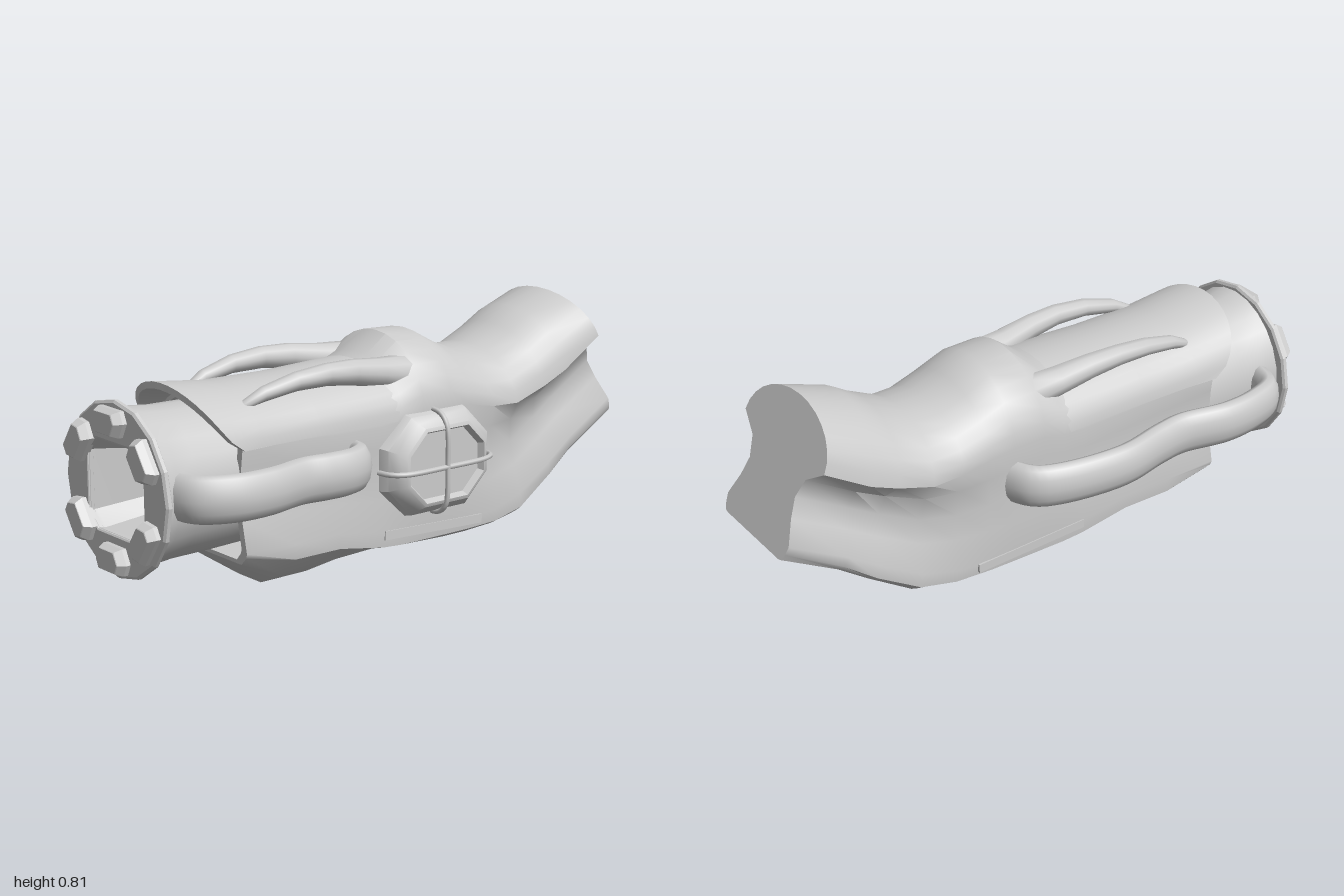
import * as THREE from 'three';
import { toCreasedNormals } from 'three/addons/utils/BufferGeometryUtils.js';

const V = (x, y, z) => new THREE.Vector3(x, y, z);
const material = new THREE.MeshStandardMaterial({ color: 0xcccccc });
const CX = 0.012, CY = 0.38; // barrel axis

// Skin a row of closed loops (counter-clockwise seen from the far end), with optional caps
function loft(loops, capStart = true, capEnd = true, crease = 0.65) {
  const pos = [];
  const tri = (...pts) => pts.forEach((p) => pos.push(p.x, p.y, p.z));
  const fan = (loop, flip) => {
    const c = loop.reduce((s, p) => s.add(p), V(0, 0, 0)).divideScalar(loop.length);
    loop.forEach((p, i) => {
      const q = loop[(i + 1) % loop.length];
      flip ? tri(c, q, p) : tri(c, p, q);
    });
  };
  for (let k = 0; k < loops.length - 1; k++) {
    const a = loops[k], b = loops[k + 1];
    for (let i = 0; i < a.length; i++) {
      const j = (i + 1) % a.length;
      tri(a[i], a[j], b[j]);
      tri(a[i], b[j], b[i]);
    }
  }
  if (capStart) fan(loops[0], true);
  if (capEnd) fan(loops[loops.length - 1], false);
  const g = new THREE.BufferGeometry();
  g.setAttribute('position', new THREE.Float32BufferAttribute(pos, 3));
  return toCreasedNormals(g, crease);
}

// Chamfered rectangle, counter-clockwise
const chamfer = (w, h, c) => [
  [w, -h + c], [w, h - c], [w - c, h], [-w + c, h],
  [-w, h - c], [-w, -h + c], [-w + c, -h], [w - c, -h],
];

// Body cross-section: domed top, waisted sides, tapered belly
function bodySection([zTop, zBot, top, sh, w, waist, wl, low, bot, keel]) {
  const half = [[keel, bot], [(keel + wl) / 2, bot * 0.6 + (low - 0.04) * 0.4],
    [wl - 0.005, Math.max(low - 0.05, bot + 0.025)], [wl, low]];
  for (const t of [0.3, 0.55, 0.8]) {
    const edge = wl + (w - wl) * t;
    half.push([edge + (waist - edge) * (t === 0.55 ? 1 : 0.75), low + (sh - low) * t]);
  }
  for (let i = 0; i < 7; i++) {
    const a = Math.PI / 2 * (1 - i / 7);
    half.push([w * Math.sin(a), sh + (top - sh) * Math.cos(a)]);
  }
  const ring = [[0, bot], ...half, [0, top], ...half.map(([x, y]) => [-x, y]).reverse()];
  return ring.map(([x, y]) => V(CX + x, y, zBot + (zTop - zBot) * (y - bot) / (top - bot)));
}

export function createModel() {
  const group = new THREE.Group();
  const add = (name, geometry) => {
    const m = new THREE.Mesh(geometry, material);
    m.name = name;
    group.add(m);
    return m;
  };

  // Main body, rear to front:
  // zTop, zBottom, top, shoulder, width, waist, lowerWidth, lowerEdge, bottom, keel
  const stations = [
    [-0.8, -0.995, 0.81, 0.665, 0.24, 0.14, 0.19, 0.42, 0.37, 0.16],
    [-0.65, -0.79, 0.765, 0.565, 0.241, 0.145, 0.2, 0.31, 0.25, 0.16],
    [-0.57, -0.68, 0.715, 0.525, 0.243, 0.16, 0.21, 0.24, 0.17, 0.16],
    [-0.46, -0.53, 0.66, 0.485, 0.245, 0.19, 0.228, 0.16, 0.075, 0.17],
    [-0.36, -0.4, 0.66, 0.49, 0.247, 0.22, 0.24, 0.13, 0.062, 0.18],
    [-0.27, -0.27, 0.695, 0.51, 0.25, 0.238, 0.247, 0.12, 0.06, 0.18],
    [-0.18, -0.18, 0.745, 0.52, 0.25, 0.245, 0.248, 0.12, 0.06, 0.18],
    [-0.06, -0.06, 0.75, 0.52, 0.25, 0.246, 0.248, 0.125, 0.06, 0.17],
    [0.02, 0.02, 0.69, 0.5, 0.248, 0.244, 0.248, 0.13, 0.06, 0.16],
    [0.1, 0.1, 0.655, 0.49, 0.242, 0.238, 0.248, 0.14, 0.055, 0.12],
    [0.28, 0.28, 0.64, 0.49, 0.235, 0.228, 0.248, 0.17, 0.003, 0.063],
    [0.46, 0.46, 0.64, 0.5, 0.233, 0.222, 0.248, 0.17, 0, 0.06],
    [0.65, 0.65, 0.64, 0.51, 0.233, 0.22, 0.248, 0.175, 0.135, 0.19],
  ];
  // The front end is hollowed, leaving a thin rim around the barrel
  const loops = stations.map(bodySection);
  const rim = loops[loops.length - 1];
  for (const z of [0.65, 0.52]) loops.push(rim.map((p) => V(CX + (p.x - CX) * 0.89, 0.38 + (p.y - 0.38) * 0.95, z)));
  add('body', loft(loops));

  // Low rail along each flank
  for (const s of [1, -1]) {
    const rail = add('flankRail', new THREE.BoxGeometry(0.02, 0.03, 0.42));
    rail.position.set(CX + s * 0.241, 0.122, -0.11);
    rail.rotation.x = -0.04;
  }

  // Arched shroud over the barrel, front edge swept forward at the crown
  const arch = [];
  for (let i = 0; i <= 18; i++) {
    const a = Math.PI * i / 18, c = Math.cos(a), s = Math.sin(a);
    const pt = (w, h, z) => V(CX + w * c, 0.5 + h * s, z);
    const front = 0.65 + 0.14 * Math.pow(Math.max(s, 0), 0.65);
    arch.push([pt(0.247, 0.19, front), pt(0.239, 0.166, 0.58), pt(0.238, 0.163, 0.35), pt(0.246, 0.175, 0.03),
      pt(0.2, 0.12, 0.03), pt(0.215, 0.125, 0.35), pt(0.215, 0.13, 0.58), pt(0.226, 0.168, front)]);
  }
  add('shroud', loft(arch));

  // Barrel and muzzle flange
  const profile = [[0.235, 0.5], [0.24, 0.65], [0.242, 0.8], [0.25, 0.88], [0.262, 0.935]];
  const lathe = new THREE.LatheGeometry(profile.map(([r, z]) => new THREE.Vector2(r, z)), 24);
  const barrel = add('barrel', toCreasedNormals(lathe.rotateX(Math.PI / 2), 0.6));
  barrel.scale.x = 0.92;
  barrel.position.set(CX, CY, 0);
  const face = new THREE.Shape();
  face.absarc(0, 0, 0.272, 0, Math.PI * 2);
  face.holes.push(new THREE.Path(chamfer(0.157, 0.15, 0.05).map(([x, y]) => new THREE.Vector2(x, y)).reverse()));
  const flange = add('muzzleFlange', new THREE.ExtrudeGeometry(face, {
    depth: 0.012, curveSegments: 8, bevelSize: 0.008, bevelThickness: 0.006, bevelSegments: 1,
  }));
  flange.position.set(CX, CY, 0.941);

  // Recessed bore
  const bore = [[0.15, 0.143, 0.047, 0.959], [0.152, 0.145, 0.049, 0.93], [0.12, 0.117, 0.042, 0.74]];
  add('bore', loft(bore.map(([w, h, c, z]) => chamfer(w, h, c).map(([x, y]) => V(CX + x, CY + y, z))), false, true, 0.3));

  // Six muzzle pads with wide bevels
  const padShape = [[0.058, 0.042], [-0.058, 0.042], [-0.075, 0.005], [-0.05, -0.042], [0.05, -0.042], [0.075, 0.005]];
  const padGeometry = loft([[1, 0.95], [1, 0.974], [0.8, 0.998], [0.76, 1]].map(([s, z]) =>
    padShape.map(([x, y]) => V(x * s, 0.215 + y * s, z))), false, true, 0.3);
  for (const deg of [0, 55, 125, 180, 235, 305]) {
    const pad = add('muzzlePad', padGeometry);
    pad.position.set(CX, CY, 0);
    pad.rotation.z = THREE.MathUtils.degToRad(deg);
  }

  // Side hoses, taller than wide
  const tube = (pts, r, seg, sides) =>
    new THREE.TubeGeometry(new THREE.CatmullRomCurve3(pts.map((p) => V(...p))), seg, r, sides);
  const hose = (name, pts) => {
    const g = tube(pts.map(([x, z]) => [x, 0, z]), 0.042, 56, 12);
    add(name, g.scale(1, 1.8, 1).translate(0, 0.388, 0));
  };
  hose('leftHose', [[0.2, 0.2], [0.275, 0.22], [0.315, 0.29], [0.318, 0.38], [0.31, 0.47],
    [0.343, 0.62], [0.338, 0.75], [0.285, 0.845], [0.18, 0.88]]);
  hose('rightHose', [[-0.18, -0.19], [-0.28, -0.14], [-0.32, -0.06], [-0.348, 0.17], [-0.312, 0.35],
    [-0.3, 0.45], [-0.33, 0.62], [-0.318, 0.75], [-0.275, 0.85], [-0.16, 0.885]]);

  // Two raised ribs on top, widening towards the rear: x, y, z, half width, half height
  const ribPath = [[0.145, 0.63, -0.06, 0.06, 0.06], [0.153, 0.645, 0.05, 0.05, 0.05], [0.165, 0.665, 0.17, 0.041, 0.043],
    [0.172, 0.674, 0.28, 0.036, 0.036], [0.17, 0.668, 0.4, 0.033, 0.03], [0.16, 0.643, 0.52, 0.026, 0.024],
    [0.15, 0.613, 0.59, 0.017, 0.016], [0.147, 0.6, 0.61, 0.006, 0.006]];
  for (const s of [1, -1]) {
    const rings = ribPath.map(([x, y, z, rx, ry]) => Array.from({ length: 10 }, (_, i) => {
      const a = i / 10 * Math.PI * 2;
      return V(CX + s * x + rx * Math.cos(a), y + ry * Math.sin(a), z);
    }));
    add(s > 0 ? 'leftRib' : 'rightRib', loft(rings, true, true, 0.9));
  }

  // Caged porthole on the left side: sloped surround, raised window ring, recessed pane
  const port = [[0.225, 0.172, 0.1, 0.24], [0.212, 0.162, 0.095, 0.285], [0.19, 0.143, 0.085, 0.308],
    [0.17, 0.13, 0.078, 0.328], [0.158, 0.118, 0.07, 0.332], [0.148, 0.108, 0.065, 0.31]];
  add('porthole', loft(port.map(([w, h, c, x]) => chamfer(w, h, c).map(([u, v]) => V(x, 0.35 + v, -0.105 - u)))));
  const arc = [[-1, 0.25], [-0.95, 0.3], [-0.75, 0.33], [0, 0.337], [0.75, 0.33], [0.95, 0.3], [1, 0.25]];
  add('cageBarHorizontal', tube(arc.map(([t, x]) => [x, 0.342, -0.105 + t * 0.225]), 0.009, 30, 6));
  add('cageBarVertical', tube(arc.map(([t, x]) => [x, 0.35 + t * 0.172, -0.1]), 0.009, 30, 6));

  return group;
}
